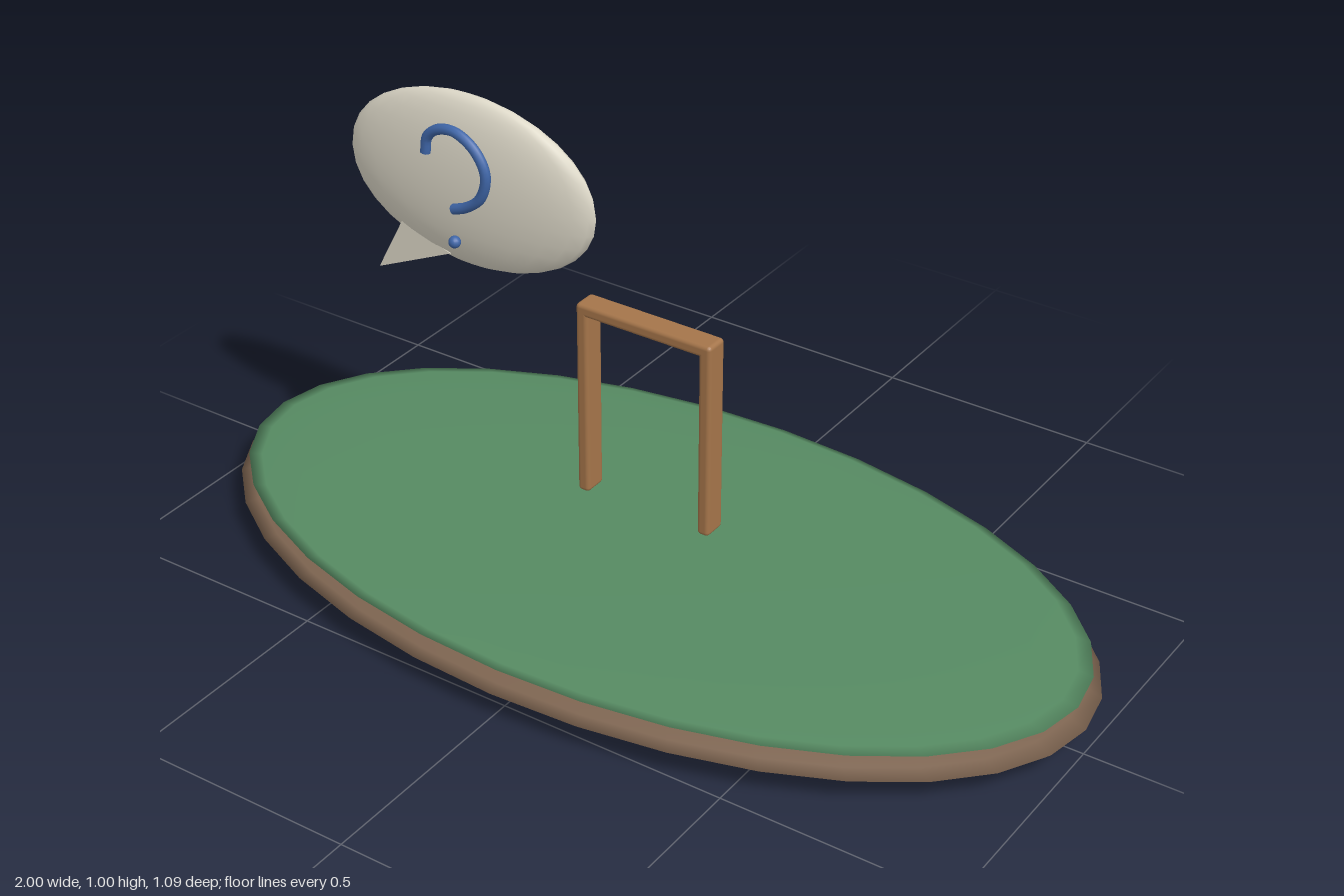
import * as THREE from 'three';
import { RoundedBoxGeometry } from 'three/addons/geometries/RoundedBoxGeometry.js';

const material = (name, color, side = THREE.FrontSide) => {
  const m = new THREE.MeshStandardMaterial({ color, side });
  m.name = name;
  return m;
};

export function createModel() {
  const model = new THREE.Group();
  const soil = material('soil brown', 0x7d6450);
  const grass = material('grass green', 0x568a62);
  const wood = material('wood', 0xa5754a);
  const cream = material('cream', 0xded9c9);
  const blue = material('blue', 0x3f66a8, THREE.DoubleSide);

  const add = (name, geometry, mat, x = 0, y = 0, z = 0) => {
    const mesh = new THREE.Mesh(geometry, mat);
    mesh.name = name;
    mesh.position.set(x, y, z);
    model.add(mesh);
    return mesh;
  };
  const ellipsoid = (rx, ry, rz, w, h) => new THREE.SphereGeometry(1, w, h).scale(rx, ry, rz);

  // Flattened island with a thin grass layer
  add('soilBase', ellipsoid(1, 0.057, 0.545, 32, 12), soil, 0, 0.06, 0);
  add('grassTop', ellipsoid(0.98, 0.018, 0.525, 32, 12), grass, 0, 0.105, 0);

  // Wooden hoop: two posts and a crossbar
  for (const side of [-1, 1]) {
    add(side < 0 ? 'rightPost' : 'leftPost',
      new RoundedBoxGeometry(0.028, 0.43, 0.054, 2, 0.009), wood, side * 0.146, 0.407, 0);
  }
  add('crossbar', new RoundedBoxGeometry(0.32, 0.028, 0.054, 2, 0.009), wood, 0, 0.618, 0);

  // Speech bubble and its pointed tail
  const cx = -0.43;
  add('bubble', ellipsoid(0.305, 0.19, 0.048, 24, 16), cream, cx, 0.815, 0);
  const tail = new THREE.Shape([
    new THREE.Vector2(-0.662, 0.558),
    new THREE.Vector2(-0.473, 0.645),
    new THREE.Vector2(-0.596, 0.684),
  ]);
  add('bubbleTail', new THREE.ExtrudeGeometry(tail, { depth: 0.044, bevelEnabled: false }), cream, 0, 0, -0.022);

  // Question mark floating just in front of the bubble
  const hook = new THREE.CatmullRomCurve3([
    [-0.495, 0.885], [-0.489, 0.92], [-0.463, 0.943], [-0.42, 0.949], [-0.372, 0.922],
    [-0.347, 0.874], [-0.361, 0.82], [-0.396, 0.79], [-0.43, 0.776],
  ].map(([x, y]) => new THREE.Vector3(x, y, 0.061)));
  add('questionHook', new THREE.TubeGeometry(hook, 40, 0.011, 10), blue);
  add('questionDot', new THREE.SphereGeometry(0.013, 14, 10), blue, cx, 0.702, 0.061);

  return model;
}
